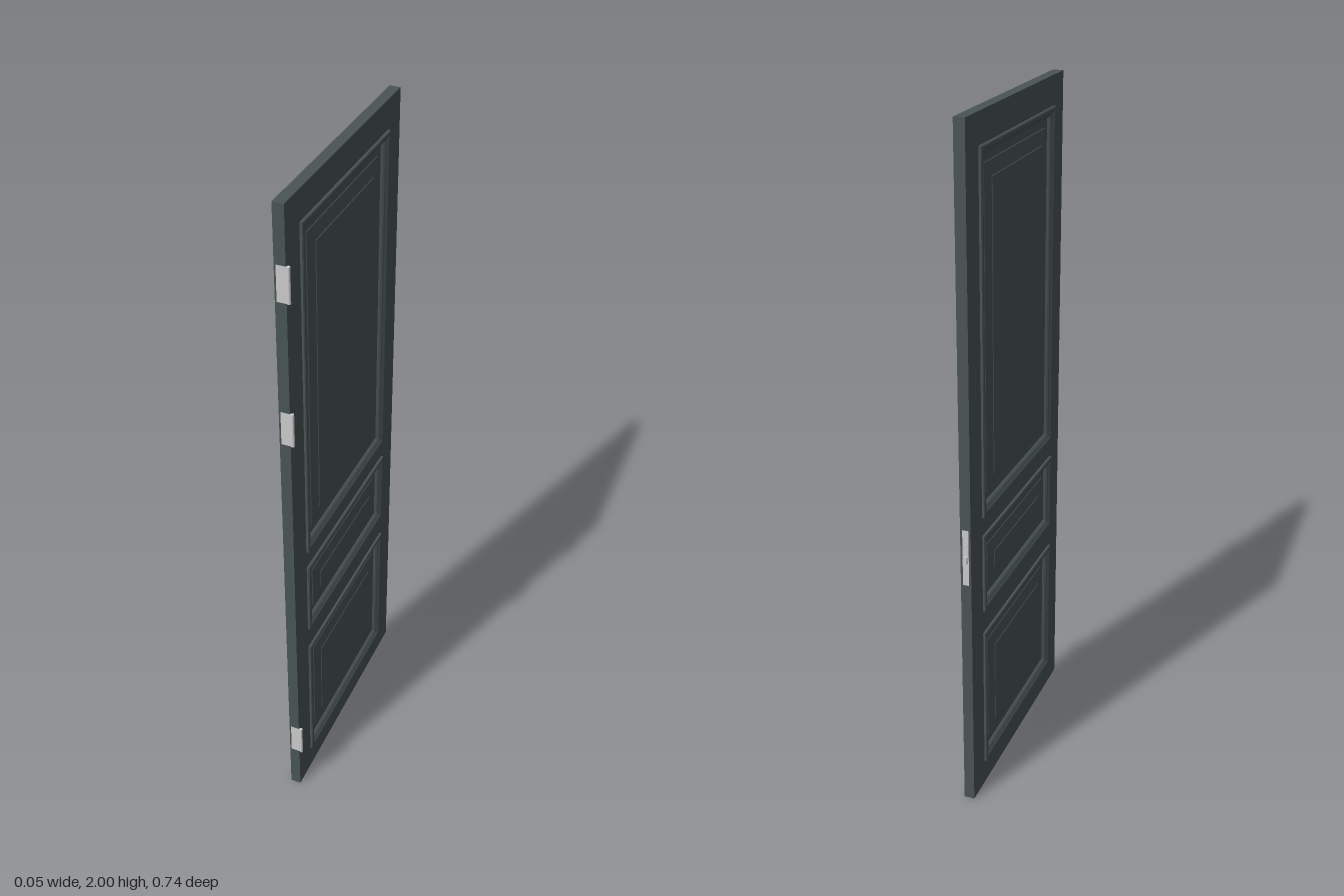
import * as THREE from 'three';

const CX = -0.0015;            // middle of the door's thickness
const HALF = 0.0155;           // half thickness
const Z0 = -0.36, Z1 = 0.366;  // latch edge, hinge edge
const PZ0 = -0.276, PZ1 = 0.285; // panel opening
const PANELS = [
  ['upperPanel', 0.897, 1.915],
  ['middlePanel', 0.599, 0.838],
  ['lowerPanel', 0.08, 0.525],
];

// [inset from the opening, height above the door's mid plane]
const PROFILE = [
  [-0.001, HALF - 0.001], [-0.001, 0.021], [0.002, 0.0235], [0.011, 0.0235], [0.014, 0.0215],
  [0.018, 0.0185], [0.022, 0.0165], [0.026, 0.0125], [0.029, 0.0065],
  [0.051, 0.0065], [0.053, 0.0085], [0.092, 0.0135], [0.094, 0.0155],
];

// Rectangular loops of the moulding profile, closed by the raised field; faces +x
function panelGeometry(width, y0, y1) {
  const pos = [];
  const loop = ([d, h]) => {
    const w = width / 2 - d;
    return [[h, y0 + d, w], [h, y0 + d, -w], [h, y1 - d, -w], [h, y1 - d, w]];
  };
  const quad = (a, b, c, d) => pos.push(...a, ...b, ...c, ...a, ...c, ...d);
  const loops = PROFILE.map(loop);
  for (let i = 0; i < loops.length - 1; i++) {
    const o = loops[i], n = loops[i + 1];
    for (let c = 0; c < 4; c++) quad(o[c], o[(c + 1) % 4], n[(c + 1) % 4], n[c]);
  }
  quad(...loops[loops.length - 1]);
  const g = new THREE.BufferGeometry();
  g.setAttribute('position', new THREE.Float32BufferAttribute(pos, 3));
  g.computeVertexNormals();
  return g;
}

// Rectangle outline in the door plane
function rect(PathType, a, b, c, d) {
  const p = new PathType();
  p.moveTo(a, c);
  p.lineTo(b, c);
  p.lineTo(b, d);
  p.lineTo(a, d);
  p.closePath();
  return p;
}

export function createModel() {
  const group = new THREE.Group();
  const paint = new THREE.MeshStandardMaterial({ color: 0x4a5456 });
  const metal = new THREE.MeshStandardMaterial({ color: 0xcccccc });
  const add = (name, geo, mat, x = 0, y = 0, z = 0) => {
    const m = new THREE.Mesh(geo, mat);
    m.name = name;
    m.position.set(x, y, z);
    group.add(m);
    return m;
  };

  // Door frame with three openings
  const outline = rect(THREE.Shape, Z0, Z1, 0, 2);
  for (const [, y0, y1] of PANELS) outline.holes.push(rect(THREE.Path, PZ0, PZ1, y0, y1));
  const slab = new THREE.ExtrudeGeometry(outline, { depth: HALF * 2, bevelEnabled: false });
  slab.translate(0, 0, -HALF).rotateY(-Math.PI / 2);
  add('doorFrame', slab, paint, CX);

  // Moulded panels on both faces
  for (const [name, y0, y1] of PANELS) {
    const geo = panelGeometry(PZ1 - PZ0, y0, y1);
    for (const turn of [0, Math.PI]) {
      const m = add(name + (turn ? 'Right' : 'Left'), geo, paint, CX, 0, (PZ0 + PZ1) / 2);
      m.rotation.y = turn;
    }
  }

  // Hinges: knuckle and leaf
  for (const y of [1.79, 1.37, 0.2]) {
    add('hingeKnuckle', new THREE.CylinderGeometry(0.005, 0.005, 0.1, 16), metal, 0.0195, y, 0.364);
    add('hingeLeaf', new THREE.BoxGeometry(0.03, 0.1, 0.002), metal, 0.003, y, Z1 - 0.0005);
  }

  // Latch plate and wedge-shaped bolt on the other edge
  add('latchPlate', new THREE.BoxGeometry(0.018, 0.17, 0.002), metal, CX, 0.81, Z0 + 0.0005);
  const wedge = new THREE.Shape();
  wedge.moveTo(-0.0075, 0.355);
  wedge.lineTo(0.005, 0.355);
  wedge.lineTo(0.005, 0.361);
  wedge.lineTo(-0.006, 0.37);
  wedge.lineTo(-0.0075, 0.37);
  wedge.closePath();
  const bolt = new THREE.ExtrudeGeometry(wedge, { depth: 0.02, bevelEnabled: false });
  bolt.rotateX(-Math.PI / 2);
  add('latchBolt', bolt, metal, 0, 0.796, 0);

  return group;
}
